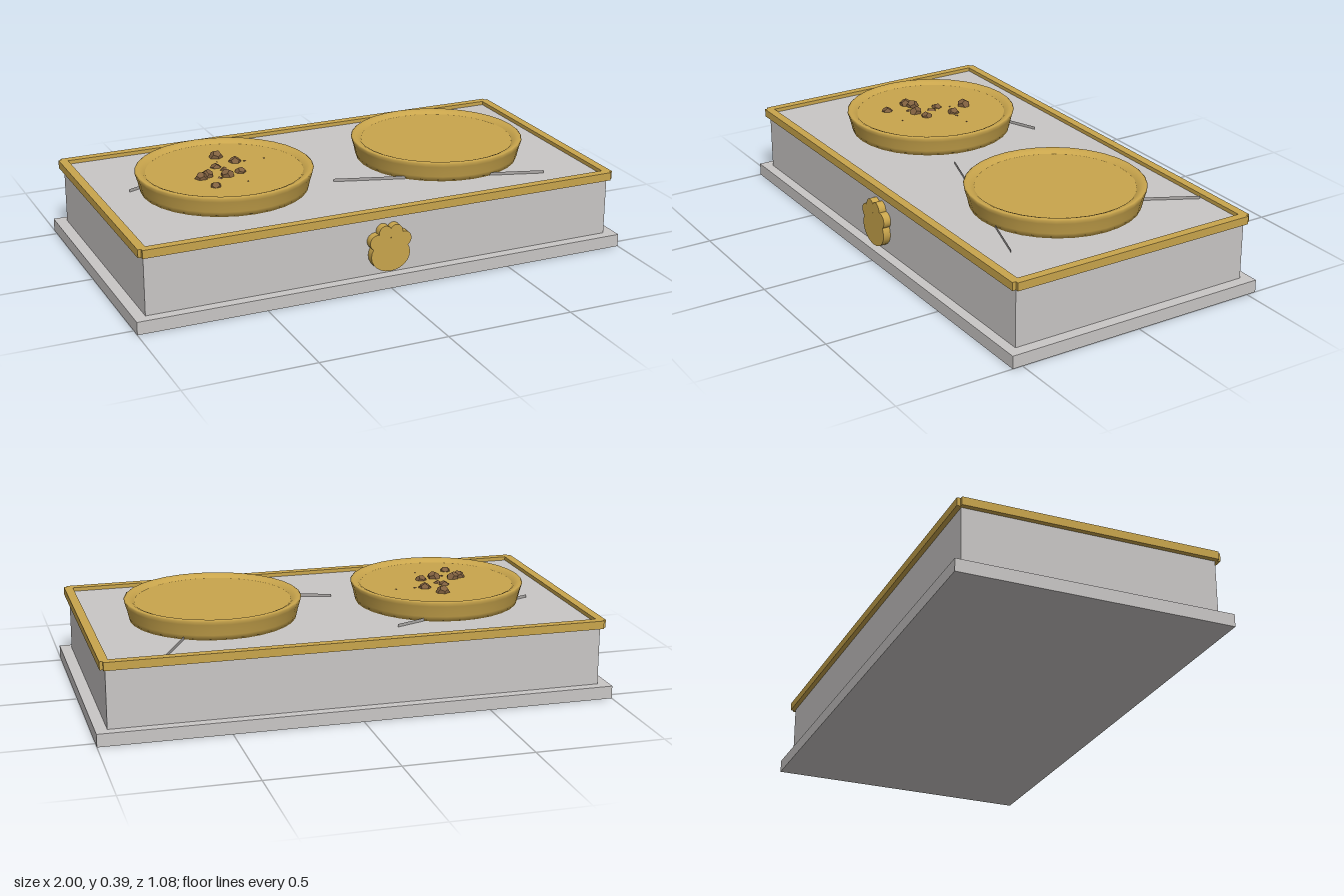
import * as THREE from 'three';

export function createModel() {
  const group = new THREE.Group();
  const mat = (name, color, opts = {}) => {
    const m = new THREE.MeshStandardMaterial({ color, ...opts });
    m.name = name;
    return m;
  };
  const stone = mat('pale stone', 0xc9c6c5);
  const vein = mat('grey vein', 0xa9a6a4, { side: THREE.DoubleSide });
  const gold = mat('gold', 0xc9a54c);
  const brown = mat('kibble brown', 0x80603f, { flatShading: true });

  const add = (name, geometry, material, x, y, z, parent = group) => {
    const mesh = new THREE.Mesh(geometry, material);
    mesh.name = name;
    mesh.position.set(x, y, z);
    parent.add(mesh);
    return mesh;
  };
  const box = (name, w, h, d, material, x, y, z) =>
    add(name, new THREE.BoxGeometry(w, h, d), material, x, y, z);

  // Stand
  const top = 0.295;
  box('plinth', 2, 0.05, 1.08, stone, 0, 0.025, 0);
  box('body', 1.91, top - 0.05, 1, stone, 0, (top + 0.05) / 2, 0);

  // Trim bars with notched corners
  for (const s of [-1, 1]) {
    box('longTrim', 1.925, 0.032, 0.034, gold, 0, 0.294, s * 0.502);
    box('endTrim', 0.034, 0.032, 1.01, gold, s * 0.958, 0.294, 0);
  }

  // Upright veins crossing the top: x1, z1, x2, z2
  for (const [x1, z1, x2, z2] of [
    [-0.055, 0.13, 0.74, 0.38],
    [-0.19, -0.34, -0.815, -0.085],
    [0.73, -0.475, 0.45, 0.05],
  ]) {
    const strip = add('vein', new THREE.PlaneGeometry(Math.hypot(x2 - x1, z2 - z1), 0.016),
      vein, (x1 + x2) / 2, top + 0.004, (z1 + z2) / 2);
    strip.rotation.y = -Math.atan2(z2 - z1, x2 - x1);
  }

  // Bowls: flared wall, rounded rim and shallow floor
  const floor = 0.362;
  const profile = [
    [0, top], [0.325, top], [0.33, 0.315], [0.335, 0.338], [0.341, 0.358], [0.345, 0.372],
    [0.34, 0.376], [0.328, 0.376], [0.315, 0.371], [0.305, floor],
  ].map(([r, y]) => new THREE.Vector2(r, y));
  for (const x of [-0.458, 0.458]) {
    const bowl = new THREE.Group();
    bowl.name = 'bowl';
    bowl.position.x = x;
    group.add(bowl);
    add('bowlWall', new THREE.LatheGeometry(profile, 32), gold, 0, 0, 0, bowl);
    const disc = add('bowlFloor', new THREE.CircleGeometry(0.306, 32), gold, 0, floor, 0, bowl);
    disc.rotation.x = -Math.PI / 2;
  }

  // Kibble: x, z, radius, height of centre above the floor
  const pieces = [
    [-0.437, -0.147, 0.028, 0], [-0.388, -0.068, 0.026, -0.004], [-0.572, 0.055, 0.026, 0],
    [-0.543, 0.04, 0.027, 0], [-0.47, 0.065, 0.027, 0], [-0.41, 0.048, 0.024, -0.004],
    [-0.478, -0.04, 0.024, -0.008], [-0.55, 0.155, 0.026, -0.009], [-0.46, -0.005, 0.033, -0.024],
    [-0.505, 0.08, 0.015, -0.009], [-0.35, -0.06, 0.01, -0.006], [-0.27, -0.06, 0.006, -0.003],
    [-0.455, -0.09, 0.006, -0.003], [-0.42, 0.155, 0.005, -0.002],
  ];
  pieces.forEach(([x, z, r, lift], i) => {
    const piece = add('kibble', new THREE.DodecahedronGeometry(r), brown, x, floor + lift, z);
    piece.rotation.y = i * 1.3;
  });

  // Paw badge: one pad and four toes as overlapping discs
  const paw = new THREE.Group();
  paw.name = 'pawBadge';
  group.add(paw);
  const disc = (name, x, y, rx, ry) => {
    const g = new THREE.CylinderGeometry(1, 1, 0.032, 24).rotateX(Math.PI / 2).scale(rx, ry, 1);
    add(name, g, gold, x, y, 0.514, paw);
  };
  disc('pad', 0, 0.133, 0.08, 0.067);
  for (const s of [-1, 1]) {
    disc('outerToe', s * 0.055, 0.188, 0.03, 0.031);
    disc('innerToe', s * 0.022, 0.221, 0.027, 0.03);
  }

  return group;
}
